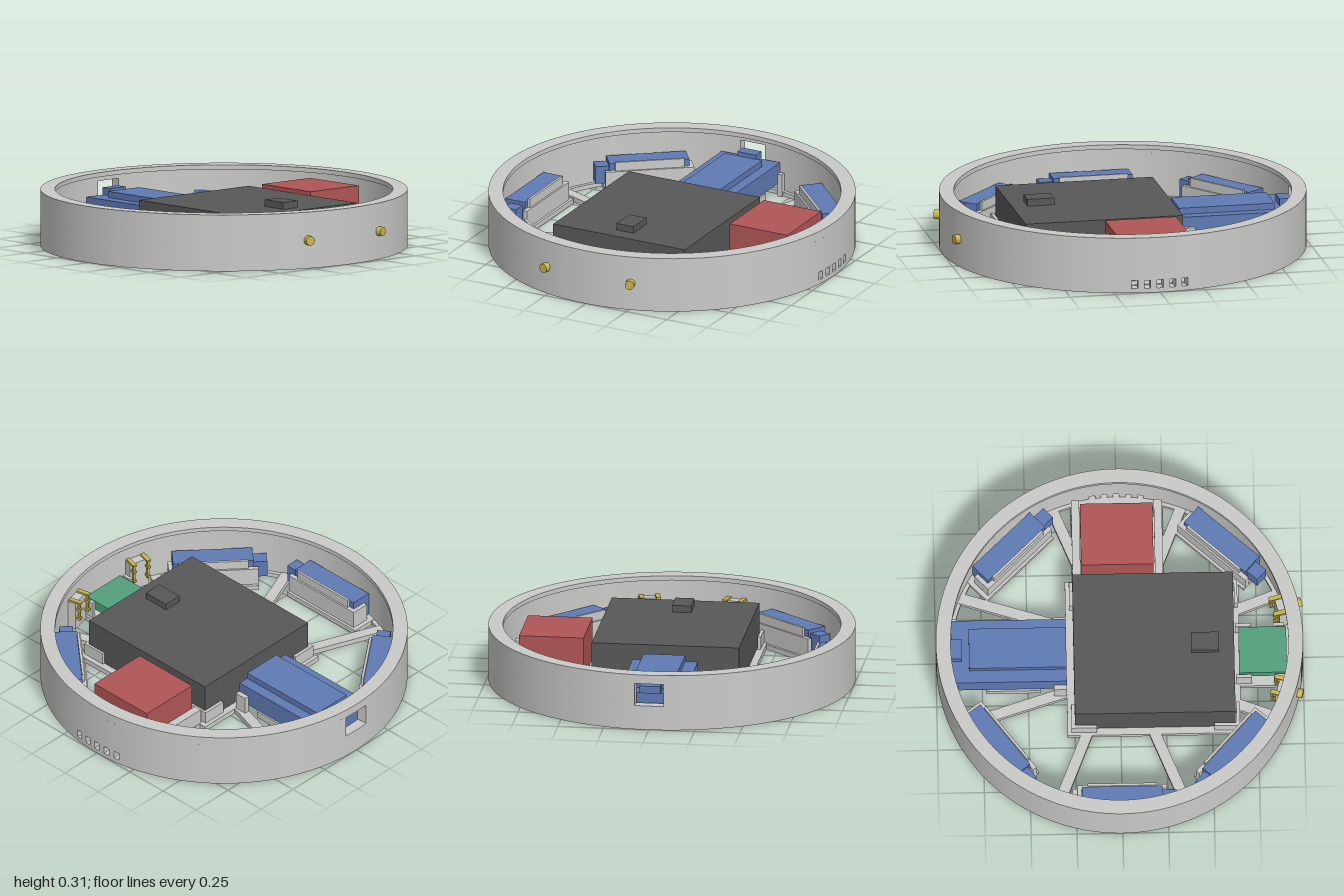
import * as THREE from 'three';
import { toCreasedNormals } from 'three/addons/utils/BufferGeometryUtils.js';

const paint = (name, color) => {
  const m = new THREE.MeshStandardMaterial({ color });
  m.name = name;
  return m;
};
const grey = paint('shell grey', 0xcacac8);
const blue = paint('servo blue', 0x5f7ab4);
const dark = paint('charcoal', 0x585858);
const red = paint('module red', 0xb05656);
const green = paint('board green', 0x52a07c);
const brass = paint('brass', 0xc9b64e);

// Box given by its limits on each axis
function box(parent, name, mat, x0, x1, y0, y1, z0, z1) {
  const m = new THREE.Mesh(new THREE.BoxGeometry(x1 - x0, y1 - y0, z1 - z0), mat);
  m.position.set((x0 + x1) / 2, (y0 + y1) / 2, (z0 + z1) / 2);
  m.name = name;
  parent.add(m);
  return m;
}

// Flat outline in x, z raised from y0 to y1
function slab(parent, name, shape, y0, y1, segments = 12) {
  let g = new THREE.ExtrudeGeometry(shape, { depth: y1 - y0, bevelEnabled: false, curveSegments: segments });
  g.rotateX(Math.PI / 2).translate(0, y1, 0);
  g = toCreasedNormals(g, 0.5);
  const m = new THREE.Mesh(g, grey);
  m.name = name;
  parent.add(m);
}

function rectPath(x0, x1, z0, z1, Type = THREE.Shape) {
  return new Type([[x0, z0], [x1, z0], [x1, z1], [x0, z1]].map(p => new THREE.Vector2(...p)));
}

function fullRing(parent, name, r0, r1, y0, y1) {
  const s = new THREE.Shape().absarc(0, 0, r1, 0, Math.PI * 2, false);
  s.holes.push(new THREE.Path().absarc(0, 0, r0, 0, Math.PI * 2, true));
  slab(parent, name, s, y0, y1, 120);
}

function arcWall(parent, name, r0, r1, a0, a1, y0, y1) {
  const s = new THREE.Shape();
  s.absarc(0, 0, r1, a0, a1, false);
  s.absarc(0, 0, r0, a1, a0, true);
  s.closePath();
  slab(parent, name, s, y0, y1, Math.max(2, Math.ceil((a1 - a0) * 19)));
}

// Straight floor bar between two points
function spoke(parent, xa, za, xb, zb) {
  const len = Math.hypot(xb - xa, zb - za);
  const m = box(parent, 'spoke', grey, -len / 2, len / 2, 0, 0.03, -0.03, 0.03);
  m.position.set((xa + xb) / 2, 0.015, (za + zb) / 2);
  m.rotation.y = -Math.atan2(zb - za, xb - xa);
}

function createShell(root) {
  const g = new THREE.Group();
  g.name = 'shell';
  root.add(g);
  const R = 0.94, PI = Math.PI;
  fullRing(g, 'floorRim', 0.92, 1, 0, 0.025);
  // Row of five vents at the back
  const back = PI * 1.5, step = 0.07, half = 0.017;
  for (let i = -2; i < 2; i++) {
    arcWall(g, 'ventBar', R, 1, back + i * step + half, back + (i + 1) * step - half, 0.025, 0.07);
  }
  arcWall(g, 'lowerWall', R, 1, back + 2 * step + half, back + PI * 2 - 2 * step - half, 0.025, 0.07);
  fullRing(g, 'middleWall', R, 1, 0.07, 0.135);
  // Plug window on the -x side
  arcWall(g, 'windowWall', R, 1, PI + 0.08, PI * 3 - 0.08, 0.135, 0.26);
  fullRing(g, 'upperWall', R, 1, 0.26, 0.285);
  fullRing(g, 'topLip', 0.92, 1, 0.285, 0.31);
}

function createFloor(root) {
  const g = new THREE.Group();
  g.name = 'floor';
  root.add(g);
  const frame = rectPath(-0.29, 0.655, -0.45, 0.44);
  frame.holes.push(rectPath(-0.15, 0.53, -0.29, 0.29, THREE.Path));
  slab(g, 'centreFrame', frame, 0, 0.03);
  [[-0.18, 0.42, -0.36, 0.87], [0.18, 0.42, 0.36, 0.87],
    [-0.2, -0.5, -0.35, -0.87], [0.2, -0.5, 0.35, -0.87],
    [-0.27, -0.18, -0.87, -0.37], [-0.27, 0.18, -0.87, 0.37],
    [0.63, -0.27, 0.87, -0.36], [0.63, 0.27, 0.87, 0.36]].forEach(s => spoke(g, ...s));
  box(g, 'rearFloor', grey, -0.25, 0.25, 0, 0.03, -0.93, -0.44);
  box(g, 'boardFloor', grey, 0.64, 0.93, 0, 0.03, -0.17, 0.17);
  box(g, 'batteryFloor', grey, -0.73, -0.43, 0.03, 0.07, -0.19, 0.19);
  // L-shaped corner clips for the main box
  for (const sx of [-1, 1]) for (const sz of [-1, 1]) {
    const clip = new THREE.Group();
    clip.name = 'cornerClip';
    clip.position.set(0.19 + sx * 0.44, 0, sz * 0.405);
    clip.scale.set(1, 1, 1);
    g.add(clip);
    const span = (a, b, s) => (s > 0 ? [a, b] : [-b, -a]);
    box(clip, 'clipLong', grey, ...span(-0.12, 0.018, sx), 0.03, 0.1, ...span(0, 0.018, sz));
    box(clip, 'clipShort', grey, ...span(0, 0.018, sx), 0.03, 0.1, ...span(-0.12, 0.018, sz));
  }
}

// Edge servo; dir tells which end carries the shaft
function createServo(root, degrees, dir) {
  const g = new THREE.Group();
  g.name = 'servoUnit';
  g.rotation.y = Math.PI / 2 - degrees * Math.PI / 180;
  root.add(g);
  const bx = (name, mat, x0, x1, ...r) =>
    box(g, name, mat, Math.min(x0 * dir, x1 * dir), Math.max(x0 * dir, x1 * dir), ...r);
  const pad = rectPath(-0.27, 0.245, 0.75, 0.93);
  const hole = dir > 0 ? [-0.23, -0.13] : [0.13, 0.23];
  const shape = dir > 0 ? pad : rectPath(-0.245, 0.27, 0.75, 0.93);
  shape.holes.push(rectPath(...hole, 0.81, 0.88, THREE.Path));
  slab(g, 'servoPad', shape, 0, 0.028);
  bx('servoBody', blue, -0.22, 0.22, 0.03, 0.17, 0.79, 0.91);
  bx('servoShaft', blue, 0.22, 0.295, 0.05, 0.15, 0.805, 0.88);
  bx('holderPlate', grey, -0.245, 0.245, 0.028, 0.13, 0.765, 0.79);
  bx('holderRib', grey, -0.19, 0.19, 0.13, 0.18, 0.775, 0.789);
  bx('holderEnd', grey, -0.245, -0.222, 0.028, 0.13, 0.79, 0.87);
}

// Contact holder inside and brass stud outside
function createContact(root, degrees) {
  const g = new THREE.Group();
  g.name = 'contactUnit';
  g.rotation.y = Math.PI / 2 - degrees * Math.PI / 180;
  root.add(g);
  box(g, 'contactHolder', grey, -0.06, 0.06, 0.02, 0.195, 0.89, 0.945);
  for (const x of [-0.045, 0.045]) {
    box(g, 'contactTop', brass, x - 0.012, x + 0.012, 0.195, 0.205, 0.86, 0.935);
    box(g, 'contactPin', brass, x - 0.006, x + 0.006, 0.08, 0.205, 0.868, 0.88);
    for (const y of [0.09, 0.15]) box(g, 'contactTab', brass, x - 0.01, x + 0.01, y, y + 0.012, 0.86, 0.89);
  }
  const stud = new THREE.Mesh(new THREE.CylinderGeometry(0.026, 0.026, 0.09, 20), brass);
  stud.name = 'stud';
  stud.rotation.x = Math.PI / 2;
  stud.position.set(0, 0.155, 0.985);
  g.add(stud);
}

export function createModel() {
  const root = new THREE.Group();
  root.name = 'roundRobotBase';
  createShell(root);
  createFloor(root);

  // Main box with a small raised block
  box(root, 'mainBox', dark, -0.25, 0.625, 0.02, 0.26, -0.41, 0.4);
  box(root, 'mainBoxBlock', dark, 0.39, 0.54, 0.26, 0.298, -0.05, 0.055);

  // Rear module in its tray
  box(root, 'rearModule', red, -0.2, 0.195, 0.04, 0.27, -0.815, -0.46);
  for (const s of [-1, 1]) {
    box(root, 'trayWall', grey, s * 0.225 - 0.022, s * 0.225 + 0.022, 0.03, 0.12, -0.89, -0.44);
  }
  box(root, 'trayBack', grey, -0.2, 0.2, 0.03, 0.12, -0.85, -0.82);

  // Side controller with step and plug
  box(root, 'controllerBody', blue, -0.915, -0.29, 0.07, 0.185, -0.18, 0.18);
  box(root, 'controllerTop', blue, -0.82, -0.29, 0.185, 0.22, -0.12, 0.11);
  box(root, 'controllerPlug', blue, -0.925, -0.86, 0.185, 0.225, -0.06, 0.055);

  // Small board
  box(root, 'board', green, 0.65, 0.91, 0.075, 0.13, -0.135, 0.13);

  // Clips beside the controller and board
  for (const s of [-1, 1]) {
    const z = s * 0.195;
    box(root, 'controllerClip', grey, -0.36, -0.29, 0, 0.13, z - 0.014, z + 0.014);
    box(root, 'controllerClip', grey, -0.91, -0.88, 0, 0.13, z - 0.014, z + 0.014);
    const b = s * 0.148;
    box(root, 'boardClip', grey, 0.632, 0.72, 0.03, 0.13, b - 0.009, b + 0.009);
    box(root, 'boardClip', grey, 0.84, 0.9, 0.03, 0.13, b - 0.009, b + 0.009);
  }

  // Five servos round the edge
  [[90, 1], [42, -1], [143, 1], [226, -1], [312, -1]].forEach(s => createServo(root, ...s));
  [-15, 15].forEach(a => createContact(root, a));
  return root;
}
